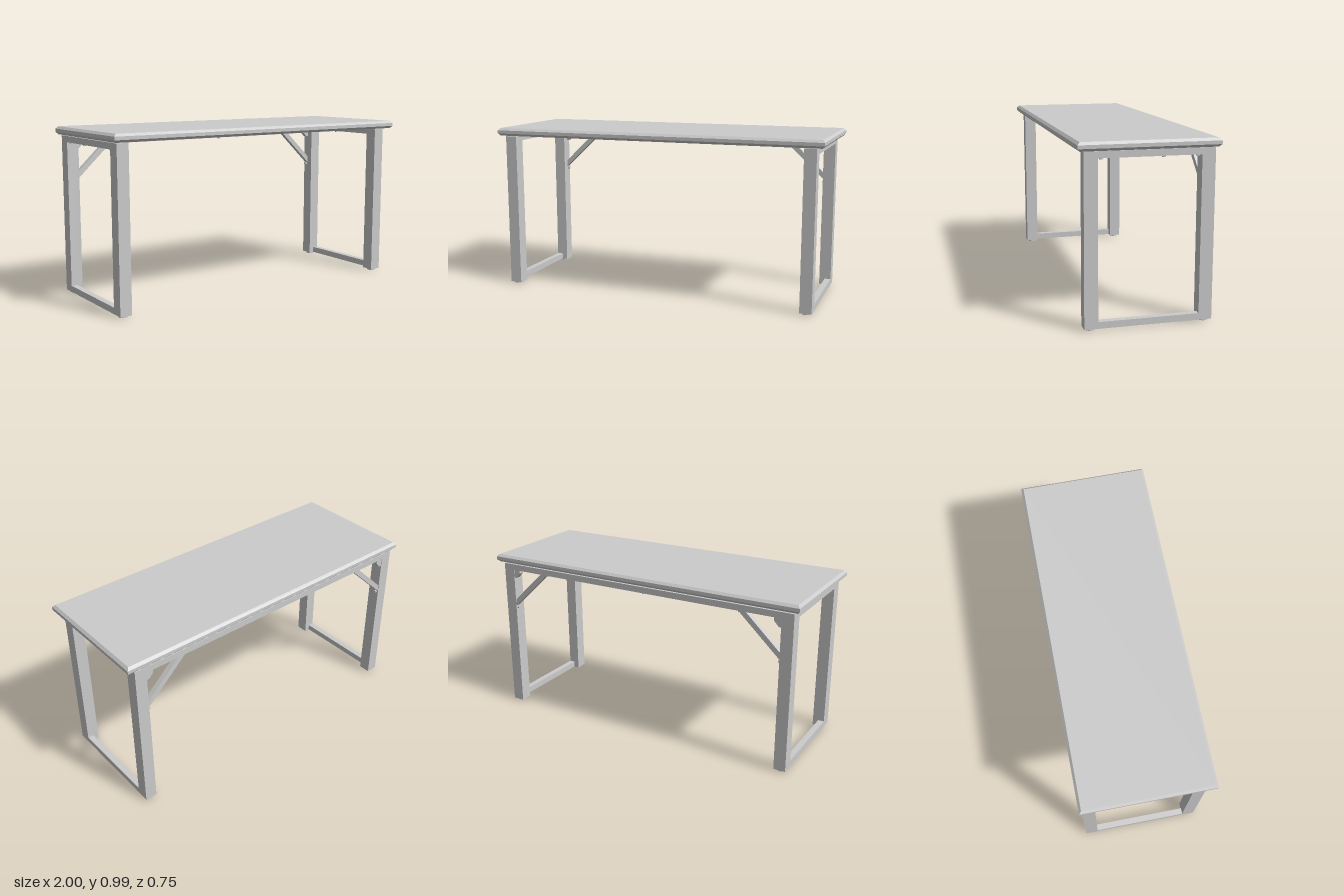
import * as THREE from 'three';

const material = new THREE.MeshStandardMaterial({ color: 0xcccccc, flatShading: true });

function add(parent, name, geometry, x = 0, y = 0, z = 0) {
  const mesh = new THREE.Mesh(geometry, material);
  mesh.name = name;
  mesh.position.set(x, y, z);
  parent.add(mesh);
  return mesh;
}

// Box given by its lower and upper limits on each axis
function beam(parent, name, [x0, x1], [y0, y1], [z0, z1]) {
  const geometry = new THREE.BoxGeometry(Math.abs(x1 - x0), y1 - y0, z1 - z0);
  return add(parent, name, geometry, (x0 + x1) / 2, (y0 + y1) / 2, (z0 + z1) / 2);
}

// Flat outline in x and y, given thickness and centred on z
function plate(parent, name, points, z, thickness) {
  const shape = new THREE.Shape(points.map(([x, y]) => new THREE.Vector2(x, y)));
  const geometry = new THREE.ExtrudeGeometry(shape, { depth: thickness, bevelEnabled: false });
  return add(parent, name, geometry, 0, 0, z - thickness / 2);
}

// Hexagonal bolt head; sideways heads point along x
function bolt(parent, x, y, z, radius = 0.01, height = 0.008, sideways = false) {
  const mesh = add(parent, 'bolt', new THREE.CylinderGeometry(radius, radius, height, 6), x, y, z);
  if (sideways) mesh.rotation.z = Math.PI / 2;
}

export function createModel() {
  const model = new THREE.Group();
  model.name = 'table';

  // Tabletop with chamfered edges
  const c = 0.014, hx = 1 - c, hz = 0.376 - c;
  const outline = new THREE.Shape([[-hx, -hz], [hx, -hz], [hx, hz], [-hx, hz]]
    .map(([x, y]) => new THREE.Vector2(x, y)));
  const top = new THREE.ExtrudeGeometry(outline, {
    depth: 0.047 - 2 * c, bevelThickness: c, bevelSize: c, bevelSegments: 1,
  });
  top.rotateX(-Math.PI / 2);
  add(model, 'tabletop', top, 0, 0.942 + c, 0);

  // Underframe sits slightly off centre
  const frame = new THREE.Group();
  frame.name = 'underframe';
  frame.position.x = -0.008;
  model.add(frame);

  const railY = [0.9, 0.936], frontZ = [0.261, 0.335], backZ = [-0.361, -0.288];
  const backRailZ = -0.343, middleZ = -0.087;

  for (const s of [-1, 1]) {
    const side = new THREE.Group();
    side.name = s > 0 ? 'leftEndFrame' : 'rightEndFrame';
    frame.add(side);

    // Legs with round feet
    for (const [name, z] of [['frontLeg', frontZ], ['backLeg', backZ]]) {
      beam(side, name, [s * 0.89, s * 0.96], [0.01, 0.936], z);
      add(side, 'foot', new THREE.CylinderGeometry(0.026, 0.026, 0.011, 24),
        s * 0.925, 0.0055, (z[0] + z[1]) / 2);
    }

    // Cross rails flush with the outer faces of the legs
    beam(side, 'topCrossRail', [s * 0.924, s * 0.96], railY, [backZ[1], frontZ[0]]);
    beam(side, 'bottomCrossRail', [s * 0.924, s * 0.96], [0.01, 0.047], [backZ[1], frontZ[0]]);

    // Bolts through the top cross rail into the tabletop
    for (const z of [0.242, middleZ, -0.27]) {
      bolt(side, s * 0.942, 0.896, z);
      bolt(side, s * 0.942, 0.939, z);
    }

    // Diagonal brace at the back
    plate(side, 'brace',
      [[s * 0.89, 0.707], [s * 0.685, 0.9], [s * 0.64, 0.9], [s * 0.89, 0.667]], backRailZ, 0.03);
    bolt(side, s * 0.643, 0.895, backRailZ, 0.01, 0.01);
    bolt(side, s * 0.885, 0.655, backRailZ, 0.01, 0.012, true);

    // Corner gusset between back leg and rail
    plate(side, 'gusset',
      [[s * 0.89, 0.9], [s * 0.848, 0.9], [s * 0.848, 0.88], [s * 0.876, 0.85], [s * 0.89, 0.85]],
      backRailZ, 0.03);
    bolt(side, s * 0.885, 0.855, backRailZ, 0.01, 0.012, true);
  }

  // Long rails under the tabletop
  beam(frame, 'backRail', [-0.89, 0.89], railY, [-0.361, -0.325]);
  beam(frame, 'middleRail', [-0.924, 0.924], railY, [middleZ - 0.018, middleZ + 0.018]);
  for (const z of [backRailZ, middleZ]) {
    bolt(frame, -0.04, 0.896, z, 0.008);
    bolt(frame, -0.04, 0.939, z, 0.008);
  }
  return model;
}
